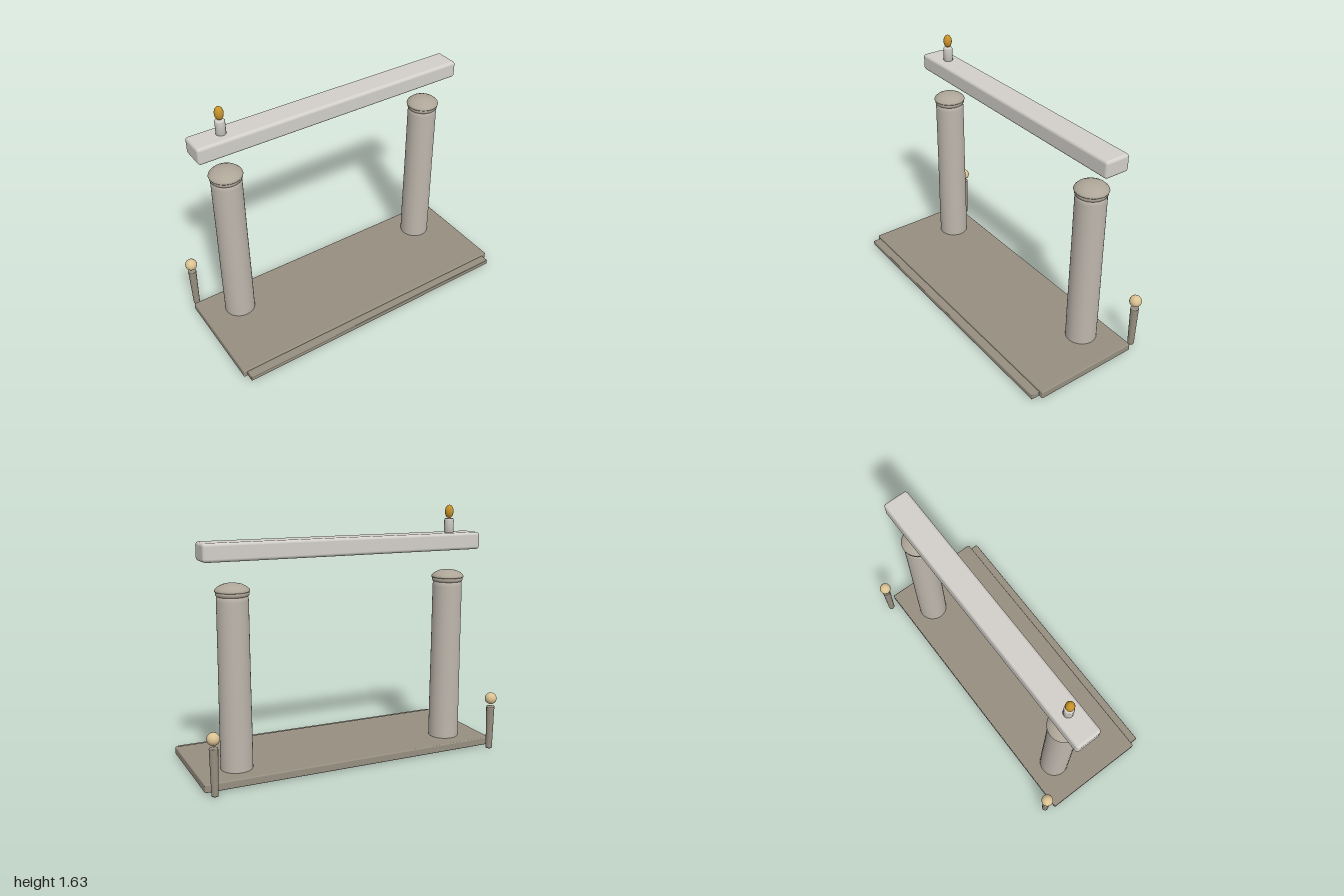
import * as THREE from 'three';
import { RoundedBoxGeometry } from 'three/addons/geometries/RoundedBoxGeometry.js';

const mat = (color) => new THREE.MeshStandardMaterial({ color });
const stone = mat(0x968e80), pillarStone = mat(0xbdb6ac), capStone = mat(0xaea698);
const pale = mat(0xd2cfc9), tan = mat(0xdcc394), gold = mat(0xc8922a), olive = mat(0x7d7358);

export function createModel() {
  const model = new THREE.Group();

  const add = (name, geometry, material, x = 0, y = 0, z = 0) => {
    const mesh = new THREE.Mesh(geometry, material);
    mesh.name = name;
    mesh.position.set(x, y, z);
    model.add(mesh);
    return mesh;
  };
  // Rounded box given by its two opposite corners
  const block = (name, material, [x0, y0, z0], [x1, y1, z1], radius) =>
    add(name, new RoundedBoxGeometry(x1 - x0, y1 - y0, z1 - z0, 3, radius), material,
      (x0 + x1) / 2, (y0 + y1) / 2, (z0 + z1) / 2);
  const turned = (points, segments = 40) =>
    new THREE.LatheGeometry(points.map(([r, y]) => new THREE.Vector2(r, y)), segments);

  // Base slab with a lower step along the front
  block('baseSlab', stone, [-1, 0.008, -0.34], [1, 0.06, 0.375], 0.008);
  block('frontStep', stone, [-0.975, 0.01, 0.36], [0.97, 0.045, 0.43], 0.005);

  // Thin uneven patch under the slab
  const outline = [[0.38, -0.17], [0.37, 0.03], [0.12, 0.23], [-0.42, 0.22], [-0.42, -0.03], [-0.19, -0.2]];
  const patchShape = new THREE.Shape(outline.map(([x, z]) => new THREE.Vector2(x, z)));
  const patch = add('undersidePatch',
    new THREE.ExtrudeGeometry(patchShape, { depth: 0.01, bevelEnabled: false }), olive, 0, 0.012, 0);
  patch.rotation.x = Math.PI / 2;

  // Pillars with mushroom caps
  const shaft = turned([[0, 0.03], [0.1, 0.03], [0.1, 0.065], [0.1, 0.3], [0.0975, 0.7],
    [0.0965, 1.1], [0.095, 1.122], [0.088, 1.134], [0, 1.134]]);
  const collar = turned([[0, 1.126], [0.085, 1.126], [0.096, 1.131], [0.101, 1.14], [0.101, 1.15], [0.095, 1.16]]);
  const dome = turned([[0.095, 1.154], [0.104, 1.156], [0.106, 1.162], [0.102, 1.171],
    [0.087, 1.185], [0.062, 1.198], [0.032, 1.205], [0, 1.207]]);
  for (const [side, x] of [['left', 0.742], ['right', -0.748]]) {
    add(side + 'PillarShaft', shaft, pillarStone, x, 0, -0.15);
    add(side + 'PillarCollar', collar, capStone, x, 0, -0.15);
    add(side + 'PillarDome', dome, capStone, x, 0, -0.15);
  }
  // Right pillar's foot showing below the slab
  add('pillarFoot', new THREE.CylinderGeometry(0.07, 0.07, 0.02, 32), pillarStone, -0.76, 0.015, -0.14);

  // Floating crossbeam
  block('crossbeam', pale, [-0.94, 1.34, -0.235], [0.935, 1.452, -0.065], 0.02);

  // Candle holder and flame bead on the beam
  add('candle', turned([[0, 1.44], [0.031, 1.44], [0.031, 1.534], [0.027, 1.542], [0, 1.542]], 24),
    pale, -0.748, 0, -0.15);
  add('flame', new THREE.SphereGeometry(0.028, 24, 16), gold, -0.748, 1.587, -0.15).scale.y = 1.55;

  // Flared posts behind the base, each with a floating ball
  const post = turned([[0, 0.008], [0.02, 0.008], [0.021, 0.014], [0.027, 0.294], [0.026, 0.3], [0, 0.3]], 24);
  const ball = new THREE.SphereGeometry(0.039, 24, 16);
  for (const [side, x] of [['left', 0.955], ['right', -0.96]]) {
    add(side + 'Post', post, stone, x, 0, -0.395);
    add(side + 'PostBall', ball, tan, x, 0.355, -0.395);
  }

  return model;
}
